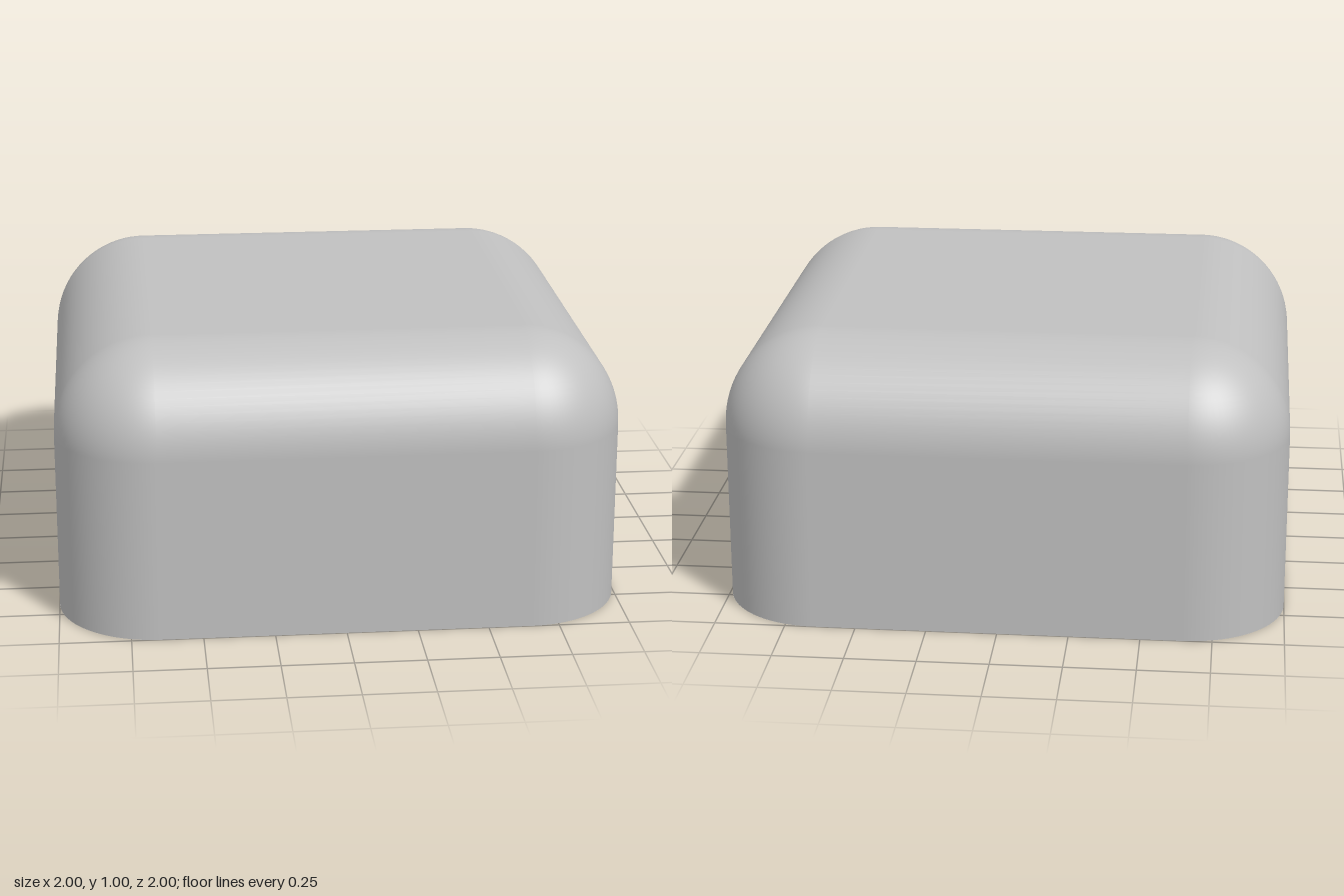
import * as THREE from 'three';

const HALF = 1, TOP = 1, RADIUS = 0.35, WALL = 0.07;
const CORE = HALF - RADIUS;          // half width of the flat faces
const INNER = HALF - WALL;           // half width of the cavity
const SPRING = TOP - RADIUS;         // height where the walls start to curve
const SLOT = { x: 0.375, y: 0.125, w: 0.26, h: 0.055, depth: 0.035 };

// Square dome with rounded vertical corners and a rounded top edge
function domeGeometry(radius, bottom) {
  const steps = 20, pos = [], nor = [], idx = [];
  const rings = [];
  if (bottom < SPRING) rings.push([bottom, 0]);
  for (let i = 0; i <= steps; i++) {
    const phi = (i / steps) * Math.PI / 2;
    rings.push([SPRING + radius * Math.sin(phi), phi]);
  }
  const count = 4 * (steps + 1);
  for (const [y, phi] of rings) {
    for (let q = 0; q < 4; q++) {
      const cx = q === 0 || q === 3 ? CORE : -CORE;
      const cz = q < 2 ? CORE : -CORE;
      for (let k = 0; k <= steps; k++) {
        const t = (q + k / steps) * Math.PI / 2;
        const nx = Math.cos(phi) * Math.cos(t), nz = Math.cos(phi) * Math.sin(t);
        pos.push(cx + radius * nx, y, cz + radius * nz);
        nor.push(nx, Math.sin(phi), nz);
      }
    }
  }
  for (let i = 0; i < rings.length - 1; i++) {
    for (let j = 0; j < count; j++) {
      const a = i * count + j, b = i * count + (j + 1) % count;
      idx.push(a, a + count, b, b, a + count, b + count);
    }
  }
  // flat top
  const last = (rings.length - 1) * count, centre = rings.length * count;
  pos.push(0, SPRING + radius, 0);
  nor.push(0, 1, 0);
  for (let j = 0; j < count; j++) idx.push(centre, last + (j + 1) % count, last + j);

  const g = new THREE.BufferGeometry();
  g.setAttribute('position', new THREE.Float32BufferAttribute(pos, 3));
  g.setAttribute('normal', new THREE.Float32BufferAttribute(nor, 3));
  g.setIndex(idx);
  return g;
}

// Rounded square outline around the flat core
function outline(path, radius) {
  path.moveTo(CORE + radius, -CORE);
  path.absarc(CORE, CORE, radius, 0, Math.PI / 2);
  path.absarc(-CORE, CORE, radius, Math.PI / 2, Math.PI);
  path.absarc(-CORE, -CORE, radius, Math.PI, Math.PI * 1.5);
  path.absarc(CORE, -CORE, radius, Math.PI * 1.5, Math.PI * 2);
  return path;
}

function rectangle(path, x0, y0, x1, y1) {
  path.moveTo(x0, y0);
  path.lineTo(x1, y0);
  path.lineTo(x1, y1);
  path.lineTo(x0, y1);
  path.closePath();
  return path;
}

export function createModel() {
  const model = new THREE.Group();
  model.name = 'hollowCover';
  const grey = new THREE.MeshStandardMaterial({ color: 0xc0c0c0, side: THREE.DoubleSide });
  grey.name = 'light grey';
  const add = (parent, geometry, name) => {
    const mesh = new THREE.Mesh(geometry, grey);
    mesh.name = name;
    parent.add(mesh);
    return mesh;
  };

  // Outer skin and curved ceiling of the cavity
  add(model, domeGeometry(RADIUS, 0), 'outerShell');
  add(model, domeGeometry(RADIUS - WALL, SPRING), 'innerCeiling');

  // Flat rim around the open underside
  const rim = outline(new THREE.Shape(), RADIUS);
  rim.holes.push(outline(new THREE.Path(), RADIUS - WALL));
  add(model, new THREE.ShapeGeometry(rim, 20).rotateX(Math.PI / 2), 'bottomRim');

  // Inner wall panel with two shallow snap slots
  const panel = rectangle(new THREE.Shape(), -CORE, 0, CORE, SPRING);
  for (const s of [-1, 1]) {
    const x = s * SLOT.x;
    panel.holes.push(rectangle(new THREE.Path(),
      x - SLOT.w / 2, SLOT.y - SLOT.h / 2, x + SLOT.w / 2, SLOT.y + SLOT.h / 2));
  }
  const panelGeometry = new THREE.ExtrudeGeometry(panel, { depth: SLOT.depth, bevelEnabled: false });
  const slotFloor = new THREE.PlaneGeometry(SLOT.w + 0.02, SLOT.h + 0.02);
  const corner = new THREE.CylinderGeometry(
    RADIUS - WALL, RADIUS - WALL, SPRING, 20, 1, true, 0, Math.PI / 2);

  // The same wall and corner on all four sides
  for (let i = 0; i < 4; i++) {
    const side = new THREE.Group();
    side.name = 'innerSide';
    side.rotation.y = i * Math.PI / 2;
    add(side, panelGeometry, 'innerWall').position.z = INNER;
    for (const s of [-1, 1]) {
      const floor = add(side, slotFloor, 'slotFloor');
      floor.position.set(s * SLOT.x, SLOT.y, INNER + SLOT.depth);
      floor.rotation.y = Math.PI;
    }
    add(side, corner, 'innerCorner').position.set(CORE, SPRING / 2, CORE);
    model.add(side);
  }

  // Shallow ribs hanging from the ceiling
  for (const s of [-1, 1]) {
    add(model, new THREE.BoxGeometry(1.64, 0.065, 0.04), 'ceilingRib')
      .position.set(0, 0.9125, s * 0.44);
  }
  return model;
}
